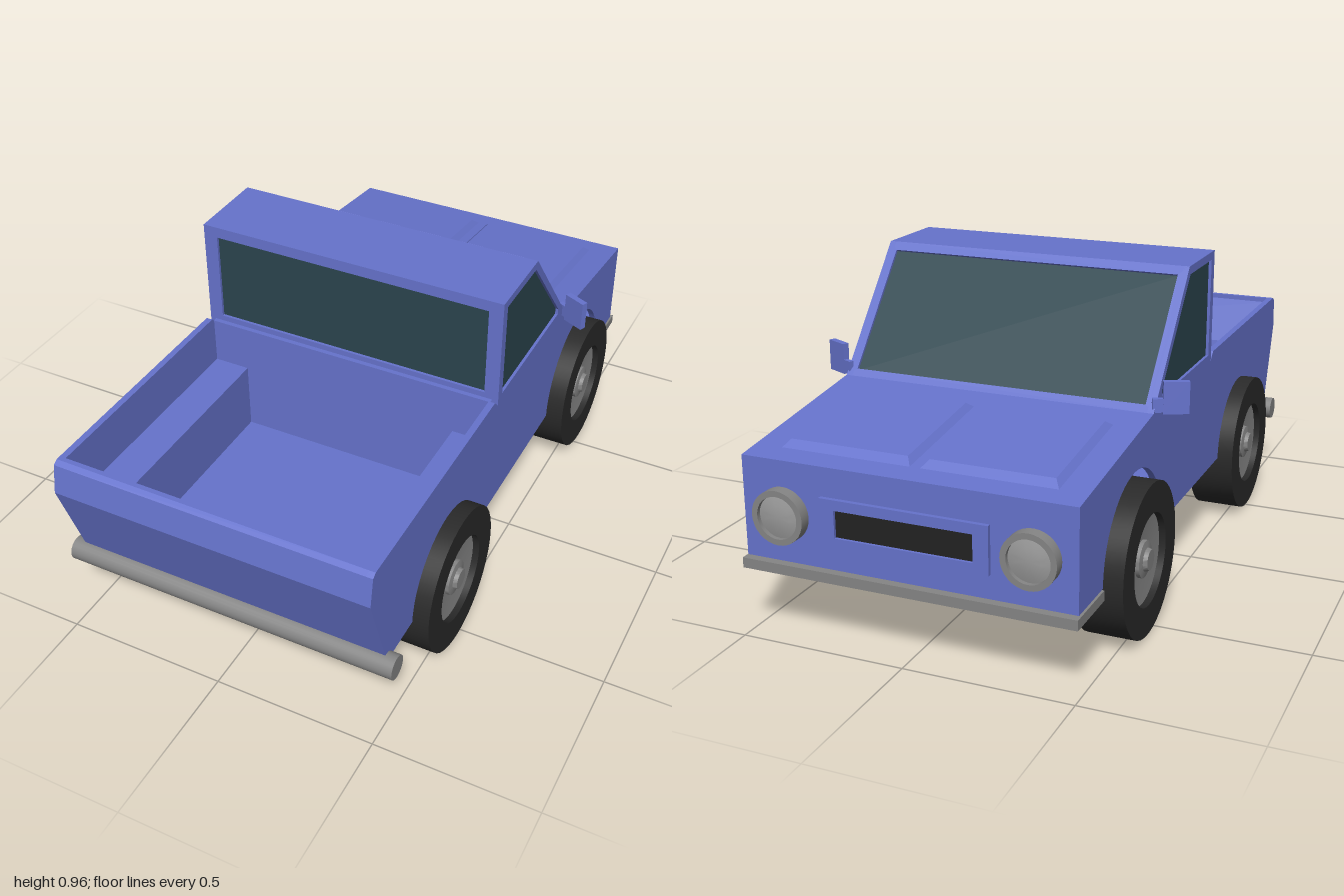
import * as THREE from 'three';
import { toCreasedNormals } from 'three/addons/utils/BufferGeometryUtils.js';

const mat = (color) => new THREE.MeshStandardMaterial({ color, side: THREE.DoubleSide });
const paint = mat(0x6673cc), glass = mat(0x2b454e), rubber = mat(0x2a2a2a);
const metal = mat(0x858585), lensGrey = mat(0x9a9a9a), black = mat(0x222222);
const HALF = 0.495; // half width of the body

function add(parent, name, geometry, material, x = 0, y = 0, z = 0) {
  const mesh = new THREE.Mesh(geometry, material);
  mesh.name = name;
  mesh.position.set(x, y, z);
  parent.add(mesh);
  return mesh;
}

const box = (w, h, d) => new THREE.BoxGeometry(w, h, d);
const poly = (points) => new THREE.Shape(points.map(([a, b]) => new THREE.Vector2(a, b)));
const rect = (x0, y0, x1, y1) => poly([[x0, y0], [x1, y0], [x1, y1], [x0, y1]]);
const extrude = (shape, depth) =>
  new THREE.ExtrudeGeometry(shape, { depth, bevelEnabled: false, curveSegments: 28 });

// Folded sheet: a (z, y) path swept straight across x
function sheet(path, x0, x1) {
  const pos = [];
  for (let i = 0; i < path.length - 1; i++) {
    const [za, ya] = path[i], [zb, yb] = path[i + 1];
    pos.push(x0, ya, za, x1, ya, za, x1, yb, zb, x0, ya, za, x1, yb, zb, x0, yb, zb);
  }
  const g = new THREE.BufferGeometry();
  g.setAttribute('position', new THREE.Float32BufferAttribute(pos, 3));
  g.computeVertexNormals();
  return g;
}

// Turned part, running along +y, with sharp edges kept
const turned = (points, sides = 40) => toCreasedNormals(
  new THREE.LatheGeometry(points.map(([r, h]) => new THREE.Vector2(r, h)), sides), 0.6);

function makeWheel() {
  const wheel = new THREE.Group();
  const parts = [
    ['tire', [[0, 0], [0.225, 0], [0.225, 0.145], [0.135, 0.145], [0.135, 0.115]], rubber],
    ['rim', [[0.135, 0.125], [0.06, 0.118], [0, 0.118]], metal],
    ['hubCap', [[0.054, 0.11], [0.054, 0.13], [0.034, 0.134], [0.03, 0.146], [0, 0.146]], metal],
  ];
  for (const [name, profile, material] of parts) {
    add(wheel, name, turned(profile).rotateZ(-Math.PI / 2), material, 0.4);
  }
  return wheel;
}

// Raised hood panel: a box with its upper corners drawn in
function hoodPanel() {
  const g = box(0.42, 0.03, 0.43).toNonIndexed();
  const p = g.attributes.position;
  for (let i = 0; i < p.count; i++) {
    if (p.getY(i) > 0) {
      p.setX(i, p.getX(i) * 0.86);
      p.setZ(i, p.getZ(i) > 0 ? 0.185 : -0.17);
    }
  }
  g.computeVertexNormals();
  return g.rotateX(-0.123);
}

export function createModel() {
  const truck = new THREE.Group();
  truck.name = 'pickupTruck';

  // Side panels with front wheel arch and window opening
  const side = poly([[0.9, 0.235], [1.0, 0.53], [0.985, 0.62], [0.97, 0.63], [0.19, 0.63],
    [0.165, 0.605], [0.165, 0.96], [-0.095, 0.96], [-0.4, 0.6], [-0.965, 0.53],
    [-0.965, 0.235], [-0.795, 0.235]]);
  side.absarc(-0.55, 0.235, 0.243, Math.PI, 0, true);
  const windowPoints = [[0.135, 0.63], [0.135, 0.935], [-0.085, 0.935], [-0.33, 0.65], [-0.33, 0.63]];
  side.holes.push(poly(windowPoints));
  for (const s of [1, -1]) {
    add(truck, 'sidePanel', extrude(side, 0.02).rotateY(-Math.PI / 2), paint, s > 0 ? HALF : 0.02 - HALF);
    add(truck, 'sideWindow', extrude(poly(windowPoints), 0.004).rotateY(-Math.PI / 2), glass, s * 0.484 + 0.002);
  }

  // Tailgate, hood, nose and roof
  add(truck, 'tailgate', sheet([[0.9, 0.235], [1.0, 0.53], [0.985, 0.62], [0.97, 0.63], [0.955, 0.63]], -HALF, HALF), paint);
  add(truck, 'hoodAndNose', sheet([[-0.4, 0.6], [-0.965, 0.53], [-0.965, 0.235]], -HALF, HALF), paint);
  add(truck, 'roof', sheet([[0.165, 0.96], [-0.095, 0.96]], -HALF, HALF), paint);

  // Cargo bed lining and wheel wells
  add(truck, 'bedLining', sheet([[0.955, 0.63], [0.955, 0.615], [0.89, 0.47], [0.85, 0.25],
    [0.18, 0.25], [0.18, 0.62], [0.165, 0.62]], -0.476, 0.476), paint);
  for (const s of [1, -1]) {
    add(truck, 'wheelWell', box(0.115, 0.22, 0.71), paint, s * 0.4175, 0.36, 0.535);
  }

  // Underside, open at the front wheel arches
  add(truck, 'floor', sheet([[-0.965, 0.235], [0.9, 0.235]], -0.39, 0.39), paint);
  for (const s of [1, -1]) {
    const x0 = s > 0 ? 0.39 : -HALF, x1 = s > 0 ? HALF : -0.39;
    add(truck, 'floorEdge', sheet([[-0.965, 0.235], [-0.793, 0.235]], x0, x1), paint);
    add(truck, 'floorEdge', sheet([[-0.307, 0.235], [0.9, 0.235]], x0, x1), paint);
  }

  // Windshield, leaning back from the hood
  const windshield = new THREE.Group();
  windshield.name = 'windshield';
  const frontFrame = rect(-HALF, 0, HALF, 0.472);
  frontFrame.holes.push(rect(-0.465, 0.025, 0.465, 0.442));
  add(windshield, 'windshieldFrame', extrude(frontFrame, 0.02), paint);
  add(windshield, 'windshieldGlass', box(0.95, 0.43, 0.004), glass, 0, 0.2335, 0.01);
  windshield.position.set(0, 0.6, -0.4);
  windshield.rotation.x = Math.atan2(0.305, 0.36);
  truck.add(windshield);

  // Rear cab wall and window
  const rearFrame = rect(-HALF, 0.6, HALF, 0.96);
  rearFrame.holes.push(rect(-0.45, 0.638, 0.45, 0.925));
  add(truck, 'cabRearFrame', extrude(rearFrame, 0.02), paint, 0, 0, 0.145);
  add(truck, 'rearWindow', box(0.92, 0.3, 0.004), glass, 0, 0.7815, 0.154);

  // Hood panels, mirrors and headlights on both sides
  for (const s of [1, -1]) {
    add(truck, 'hoodPanel', hoodPanel(), paint, s * 0.213, 0.565, -0.7);
    add(truck, 'mirror', box(0.075, 0.095, 0.02), paint, s * 0.545, 0.642, -0.354).rotation.y = -s * 0.45;
    add(truck, 'mirrorArm', box(0.045, 0.04, 0.015), paint, s * 0.505, 0.62, -0.376).rotation.y = -s * 0.45;
    const lamp = turned([[0.079, 0], [0.079, 0.035], [0.062, 0.035], [0.062, 0.02]], 32);
    add(truck, 'headlightRing', lamp.rotateX(-Math.PI / 2), metal, s * 0.37, 0.375, -0.965);
    const lens = turned([[0.062, 0.022], [0.035, 0.029], [0, 0.031]], 32);
    add(truck, 'headlightLens', lens.rotateX(-Math.PI / 2), lensGrey, s * 0.37, 0.375, -0.965);
  }

  // Grille
  const grille = rect(-0.25, 0.305, 0.25, 0.445);
  grille.holes.push(rect(-0.205, 0.335, 0.205, 0.415));
  add(truck, 'grilleFrame', extrude(grille, 0.014), paint, 0, 0, -0.978);
  add(truck, 'grilleOpening', box(0.42, 0.09, 0.006), black, 0, 0.375, -0.966);

  // Bumpers
  add(truck, 'frontBumper', box(1.0, 0.03, 0.19), metal, 0, 0.217, -0.89);
  add(truck, 'rearBumper', new THREE.CylinderGeometry(0.037, 0.037, 1.056, 24).rotateZ(Math.PI / 2),
    metal, 0, 0.23, 0.905);

  // Wheels
  for (const [name, z] of [['frontWheel', -0.55], ['rearWheel', 0.515]]) {
    for (const turn of [0, Math.PI]) {
      const wheel = makeWheel();
      wheel.name = name;
      wheel.position.set(0, 0.225, z);
      wheel.rotation.y = turn;
      truck.add(wheel);
    }
  }
  return truck;
}
